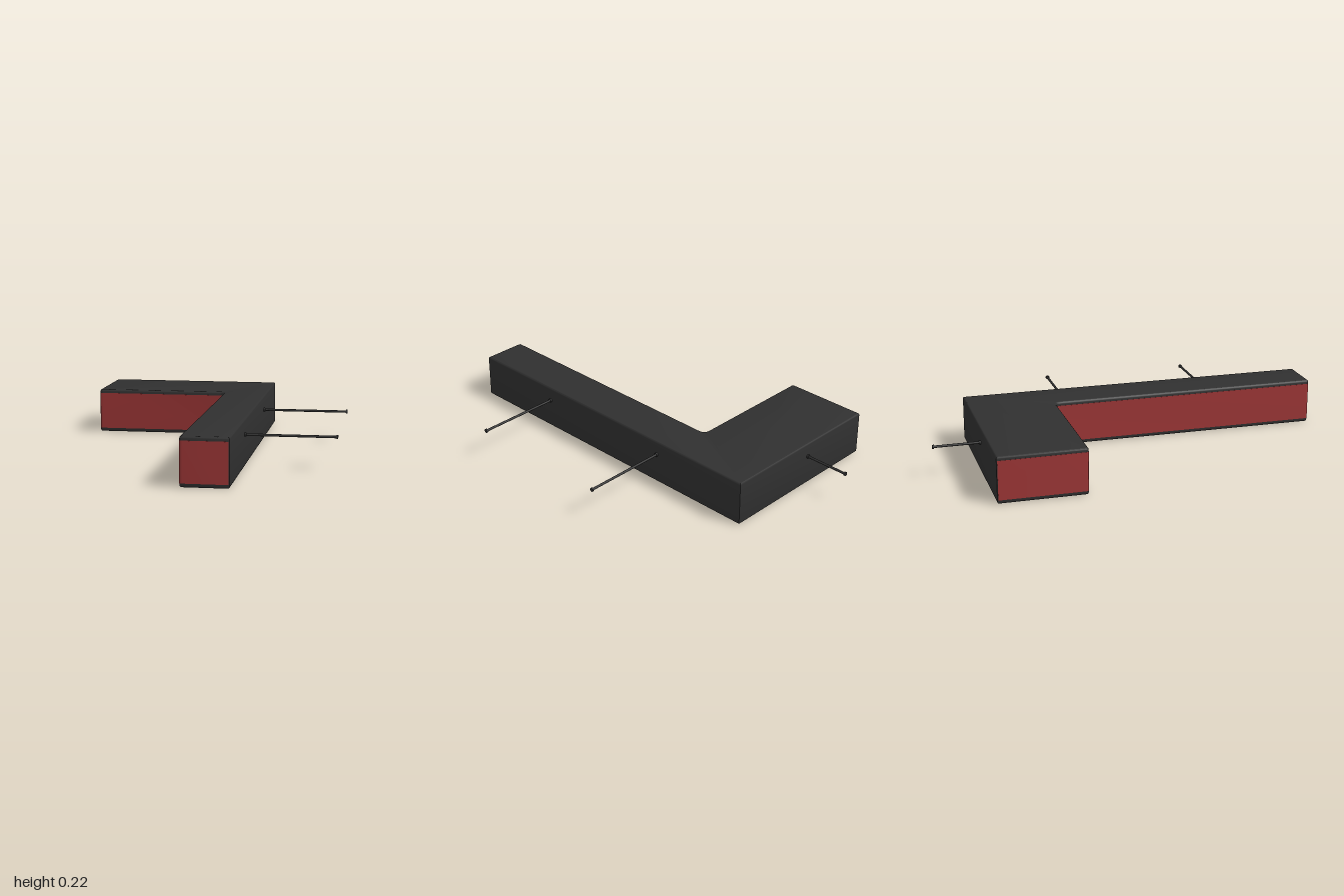
import * as THREE from 'three';
import { toCreasedNormals } from 'three/addons/utils/BufferGeometryUtils.js';

const dark = new THREE.MeshStandardMaterial({ color: 0x303030 });
const red = new THREE.MeshStandardMaterial({ color: 0x9c3636 });

// L-shaped plan; shape y is -z. "out" grows the open faces, "cut" trims the outer right and back walls
function planShape(out, cut) {
  const left = -0.661 - out, right = 0.231 - cut, inner = 0.011 - out;
  const back = 0.773 - cut, notch = 0.351 - out, front = -0.999 - out;
  const fillet = 0.03, r = 0.014;
  const s = new THREE.Shape();
  s.moveTo(inner + r, front);
  s.lineTo(right, front);
  s.lineTo(right, back);
  s.lineTo(left, back);
  s.lineTo(left, notch + r);
  s.quadraticCurveTo(left, notch, left + r, notch);
  s.lineTo(inner - fillet, notch);
  s.quadraticCurveTo(inner, notch, inner, notch - fillet);
  s.lineTo(inner, front + r);
  s.quadraticCurveTo(inner, front, inner + r, front);
  return s;
}

function slab(name, shape, y0, y1, bevel, material) {
  const g = new THREE.ExtrudeGeometry(shape, {
    depth: y1 - y0 - 2 * bevel, curveSegments: 6,
    bevelEnabled: bevel > 0, bevelSize: bevel, bevelThickness: bevel, bevelOffset: -bevel, bevelSegments: 3,
  });
  g.rotateX(-Math.PI / 2);
  g.translate(0, y0 + bevel, 0);
  const mesh = new THREE.Mesh(toCreasedNormals(g, 0.7), material);
  mesh.name = name;
  return mesh;
}

// Thin rod with a small flange at each end, running along +x
function flangedRod(name, length) {
  const group = new THREE.Group();
  group.name = name;
  const add = (part, radius, len, x) => {
    const g = new THREE.CylinderGeometry(radius, radius, len, 12);
    g.rotateZ(Math.PI / 2);
    const mesh = new THREE.Mesh(g, dark);
    mesh.name = part;
    mesh.position.x = x;
    group.add(mesh);
  };
  add('rodShaft', 0.006, length, length / 2);
  add('wallFlange', 0.01, 0.008, 0.004);
  add('tipFlange', 0.01, 0.008, length - 0.004);
  return group;
}

export function createModel() {
  const model = new THREE.Group();
  model.name = 'cornerShelf';

  // Dark casing with softened edges, and red facing on the open sides
  model.add(slab('casing', planShape(0, 0), 0.002, 0.227, 0.01, dark));
  model.add(slab('redFacing', planShape(0.001, 0.004), 0.02, 0.208, 0, red));

  // Two mounting rods on the long outer wall
  for (const z of [-0.245, 0.51]) {
    const rod = flangedRod('sideRod', 0.43);
    rod.position.set(0.231, 0.155, z);
    model.add(rod);
  }

  // One shorter rod on the back wall
  const backRod = flangedRod('backRod', 0.227);
  backRod.rotation.y = Math.PI / 2;
  backRod.position.set(-0.26, 0.155, -0.773);
  model.add(backRod);

  return model;
}
